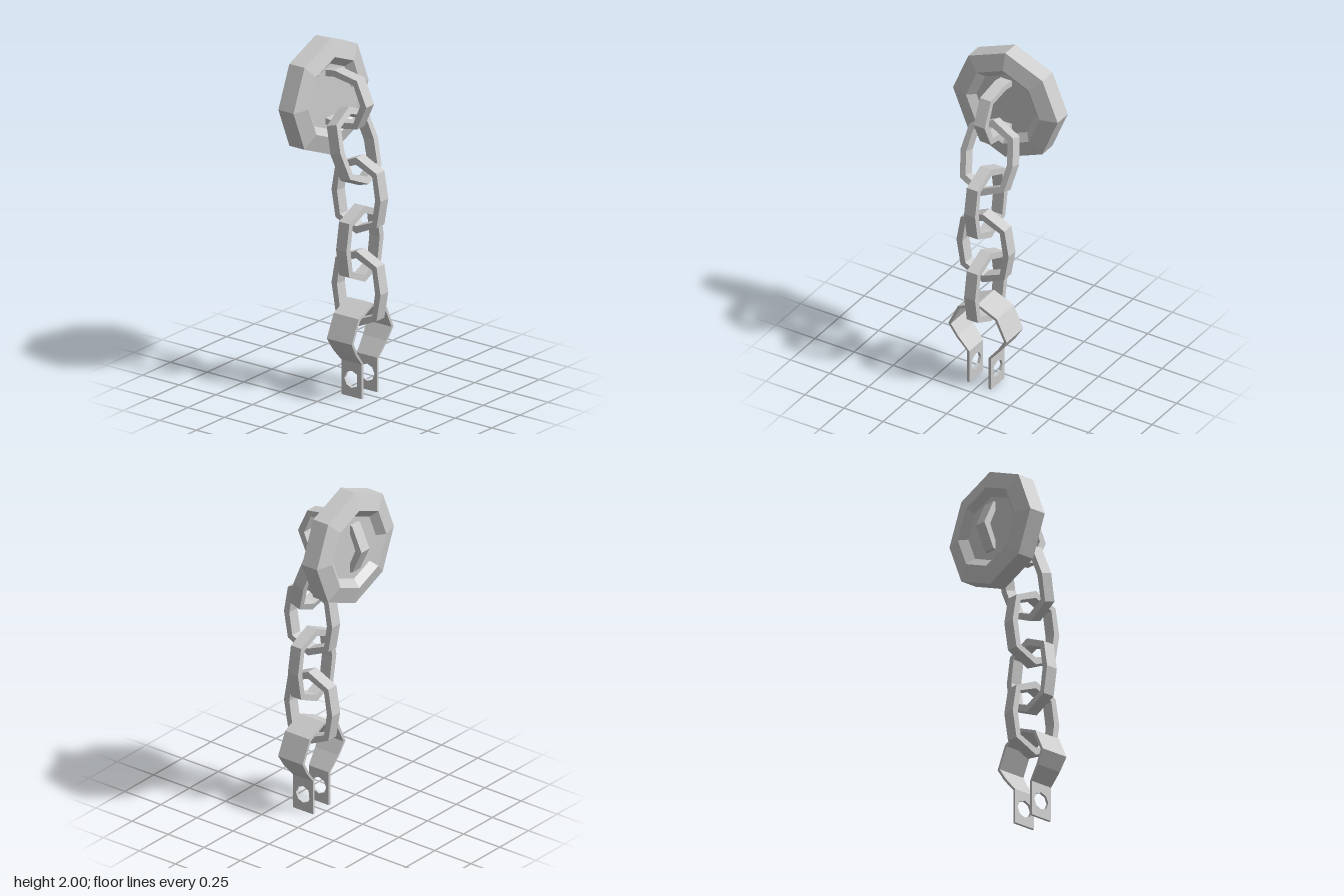
import * as THREE from 'three';

const material = new THREE.MeshStandardMaterial({ color: 0xcccccc, flatShading: true });

function addMesh(parent, geometry, name) {
  const mesh = new THREE.Mesh(geometry, material);
  mesh.name = name;
  parent.add(mesh);
  return mesh;
}

const toVectors = (pairs) => pairs.map(([x, y]) => new THREE.Vector2(x, y));

// Eight-sided loop, long axis along y, given its end, corner and side
function octagon(end, cx, cy, side) {
  return toVectors([
    [0, end], [-cx, cy], [-side, 0], [-cx, -cy],
    [0, -end], [cx, -cy], [side, 0], [cx, cy],
  ]);
}

// Flat chain link lying in the xy plane
function linkGeometry() {
  const shape = new THREE.Shape(octagon(0.22, 0.14, 0.155, 0.167));
  shape.holes.push(new THREE.Path(octagon(0.178, 0.11, 0.132, 0.13)));
  const g = new THREE.ExtrudeGeometry(shape, { depth: 0.07, bevelEnabled: false });
  return g.translate(0, 0, -0.035);
}

// Octagonal wall plate with a sunken centre on both faces, axis along x
function wallPlateGeometry() {
  const profile = toVectors([
    [0, -0.19], [0.19, -0.19], [0.235, -0.227], [0.335, -0.2],
    [0.335, -0.097], [0.235, -0.07], [0.19, -0.107], [0, -0.107],
  ]);
  return new THREE.LatheGeometry(profile, 8).rotateZ(-Math.PI / 2);
}

// Bent clasp band: half an outline mirrored, extruded across x and narrowed towards the legs
function claspBandGeometry() {
  const outer = [[0.077, 0.2], [0.14, 0.273], [0.187, 0.35], [0.125, 0.48], [0, 0.535]];
  const inner = [[0, 0.518], [0.112, 0.467], [0.17, 0.35], [0.128, 0.282], [0.062, 0.2]];
  const mirror = (points) => points.slice().reverse().map(([x, y]) => [-x, y]);
  const outline = [...outer, ...mirror(outer).slice(1), ...mirror(inner), ...inner.slice(1)];
  // The inner run starts at the left foot and returns to the right foot
  const g = new THREE.ExtrudeGeometry(new THREE.Shape(toVectors(outline)), { depth: 2, bevelEnabled: false });
  g.translate(0, 0, -1).rotateY(Math.PI / 2);
  const p = g.attributes.position;
  for (let i = 0; i < p.count; i++) {
    const t = THREE.MathUtils.clamp((p.getY(i) - 0.2) / 0.15, 0, 1);
    p.setX(i, p.getX(i) * THREE.MathUtils.lerp(0.07, 0.085, t));
  }
  return g;
}

// Clasp leg: a thin tab with an eight-sided bolt hole
function claspLegGeometry() {
  const shape = new THREE.Shape(toVectors([[-0.068, 0], [0.068, 0], [0.068, 0.2], [-0.068, 0.2]]));
  const hole = [];
  for (let i = 0; i < 8; i++) {
    const a = (i * Math.PI) / 4;
    hole.push(new THREE.Vector2(0.05 * Math.cos(a), 0.1 + 0.05 * Math.sin(a)));
  }
  shape.holes.push(new THREE.Path(hole));
  const g = new THREE.ExtrudeGeometry(shape, { depth: 0.015, bevelEnabled: false });
  return g.translate(0, 0, -0.0075);
}

export function createModel() {
  const model = new THREE.Group();
  model.name = 'wallChain';

  addMesh(model, wallPlateGeometry(), 'wallPlate').position.set(0, 1.667, 0);

  // Links: centre x, centre y, tilt about z, turn about the long axis
  const chain = new THREE.Group();
  chain.name = 'chain';
  model.add(chain);
  const quarter = Math.PI / 2;
  const links = [
    [-0.05, 1.673, quarter, 0],
    [0.061, 1.419, 0.308, quarter],
    [0.1, 1.15, 0, 0],
    [0.1, 0.868, 0, quarter],
    [0.1, 0.61, 0, 0],
  ];
  const link = linkGeometry();
  links.forEach(([x, y, tilt, turn], i) => {
    const mesh = addMesh(chain, link, `chainLink${i + 1}`);
    mesh.position.set(x, y, 0);
    mesh.rotation.set(0, turn, tilt, 'ZYX');
  });

  // Clasp at the bottom of the chain
  const clasp = new THREE.Group();
  clasp.name = 'clasp';
  clasp.position.x = 0.102;
  model.add(clasp);
  addMesh(clasp, claspBandGeometry(), 'claspBand');
  const leg = claspLegGeometry();
  for (const side of [1, -1]) {
    addMesh(clasp, leg, side > 0 ? 'claspFrontLeg' : 'claspBackLeg').position.z = side * 0.069;
  }
  return model;
}
